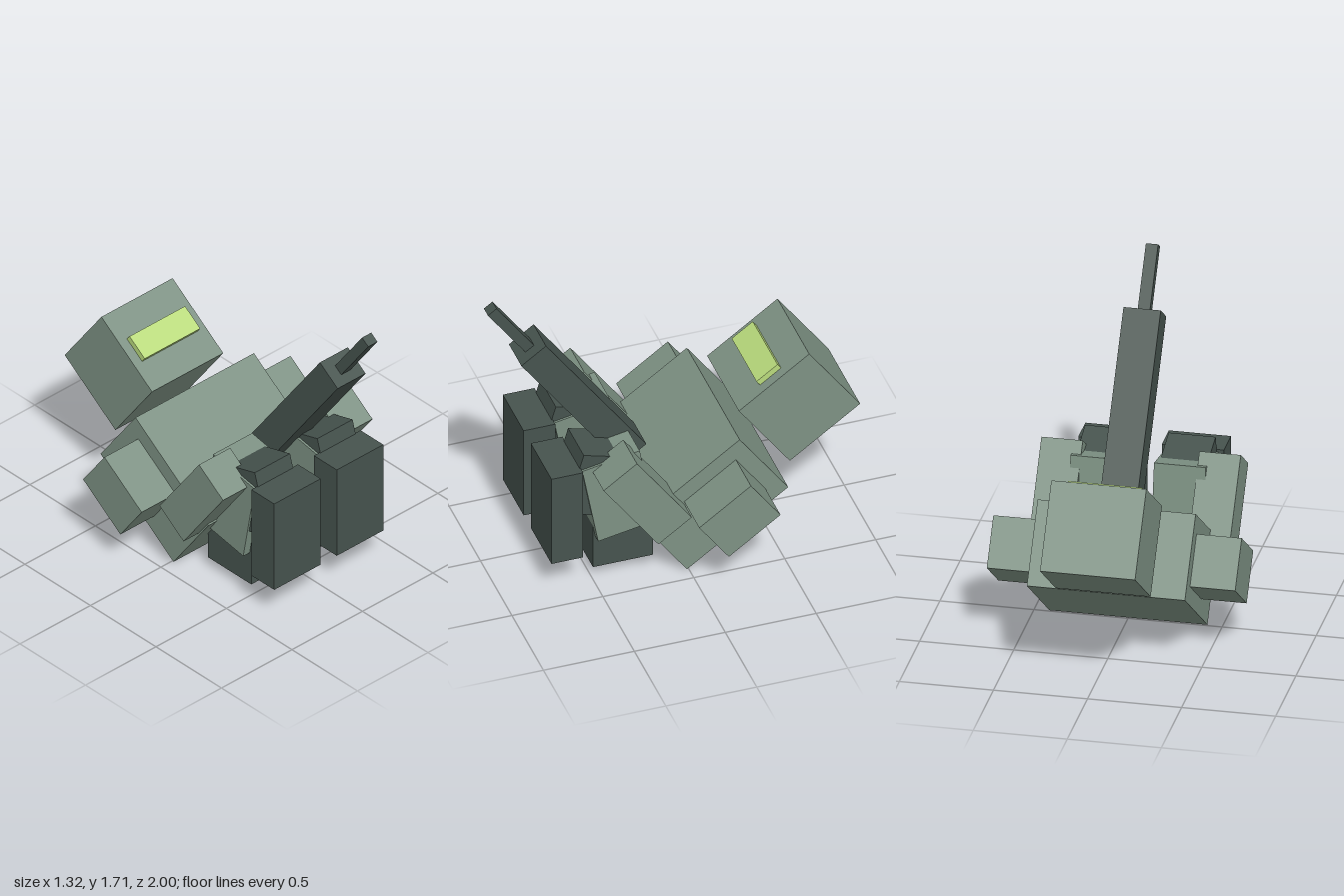
import * as THREE from 'three';

export function createModel() {
  const model = new THREE.Group();
  model.name = 'recliningRobot';

  const material = (name, color) => {
    const m = new THREE.MeshStandardMaterial({ color });
    m.name = name;
    return m;
  };
  const green = material('armourGreen', 0x7d9183);
  const dark = material('darkSteel', 0x46534e);
  const lime = material('visorLime', 0xb9da7c);

  // A block leaning toward the front by the angle tilt
  function block(name, mat, size, pos, tilt = 0) {
    const mesh = new THREE.Mesh(new THREE.BoxGeometry(...size), mat);
    mesh.name = name;
    mesh.position.set(...pos);
    mesh.rotation.x = tilt;
    model.add(mesh);
  }
  // The same block on both sides
  function pair(name, mat, size, [x, y, z], tilt) {
    block(name + 'Left', mat, size, [x, y, z], tilt);
    block(name + 'Right', mat, size, [-x, y, z], tilt);
  }

  const lean = 0.62; // shared tilt of the upper body

  // Head, visor and body
  block('torso', green, [0.84, 0.459, 0.684], [0, 0.3885, -0.135], lean);
  block('head', green, [0.505, 0.482, 0.475], [0, 0.77, -0.667], lean);
  block('visor', lime, [0.394, 0.04, 0.142], [0, 0.977, -0.519], lean);
  block('pelvis', dark, [0.628, 0.42, 0.33], [0, 0.27, 0.325]);

  // Arms
  pair('shoulder', green, [0.26, 0.28, 0.349], [0.53, 0.434, -0.198], lean);
  pair('arm', green, [0.22, 0.519, 0.2255], [0.42, 0.568, 0.264], lean);

  // Legs
  pair('thigh', green, [0.275, 0.484, 0.32], [0.222, 0.523, 0.363], 0.18);
  pair('knee', dark, [0.25, 0.37, 0.26], [0.222, 0.611, 0.478], -0.28);
  pair('shin', dark, [0.33, 0.55, 0.174], [0.222, 0.47, 0.656]);

  // Cannon
  block('cannonBody', dark, [0.198, 0.95, 0.166], [0.076, 1.016, 0.492], lean);
  block('cannonBarrel', dark, [0.065, 0.4, 0.058], [0.077, 1.529, 0.857], lean);

  return model;
}
